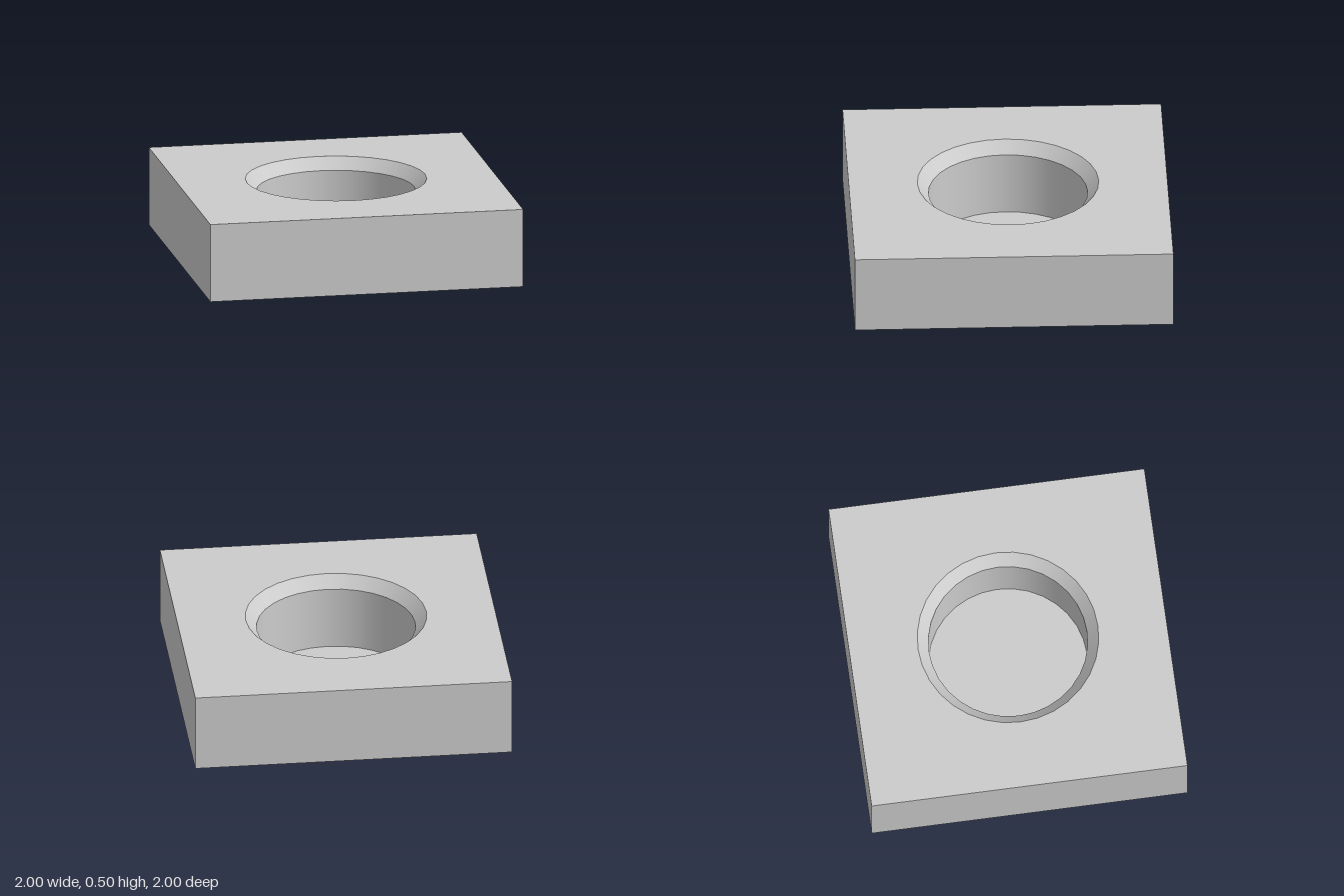
import * as THREE from 'three';

const HEIGHT = 0.5, FLOOR = 0.02, RIM_R = 0.57, HOLE_R = 0.5, CHAMFER_Y = 0.425, SIDES = 32;

export function createModel() {
  const group = new THREE.Group();
  const material = new THREE.MeshStandardMaterial({ color: 0xcccccc });

  function add(name, geometry) {
    const mesh = new THREE.Mesh(geometry, material);
    mesh.name = name;
    group.add(mesh);
    return mesh;
  }

  // inward-facing ring surface, profile listed from top to bottom
  const ring = (...profile) =>
    new THREE.LatheGeometry(profile.map(([r, y]) => new THREE.Vector2(r, y)), SIDES);

  // square block: four sides and underside, with the top face left out
  const block = new THREE.BoxGeometry(2, HEIGHT, 2);
  const index = Array.from(block.index.array);
  index.splice(12, 6);
  block.setIndex(index);
  block.clearGroups();
  block.translate(0, HEIGHT / 2, 0);
  add('blockSides', block);

  // top face with the round opening
  const square = new THREE.Shape([[-1, -1], [1, -1], [1, 1], [-1, 1]].map(([x, y]) => new THREE.Vector2(x, y)));
  const opening = [];
  for (let i = 0; i < SIDES; i++) {
    const a = (-i / SIDES) * Math.PI * 2;
    opening.push(new THREE.Vector2(Math.cos(a) * RIM_R, Math.sin(a) * RIM_R));
  }
  square.holes.push(new THREE.Path(opening));
  const top = new THREE.ShapeGeometry(square);
  top.rotateX(-Math.PI / 2);
  top.translate(0, HEIGHT, 0);
  add('topFace', top);

  // bevelled rim, straight wall and floor of the round recess
  add('chamfer', ring([RIM_R, HEIGHT], [HOLE_R, CHAMFER_Y]));
  add('recessWall', ring([HOLE_R, CHAMFER_Y], [HOLE_R, FLOOR]));
  const floor = new THREE.CircleGeometry(HOLE_R, SIDES);
  floor.rotateX(-Math.PI / 2);
  floor.translate(0, FLOOR, 0);
  add('recessFloor', floor);

  return group;
}
